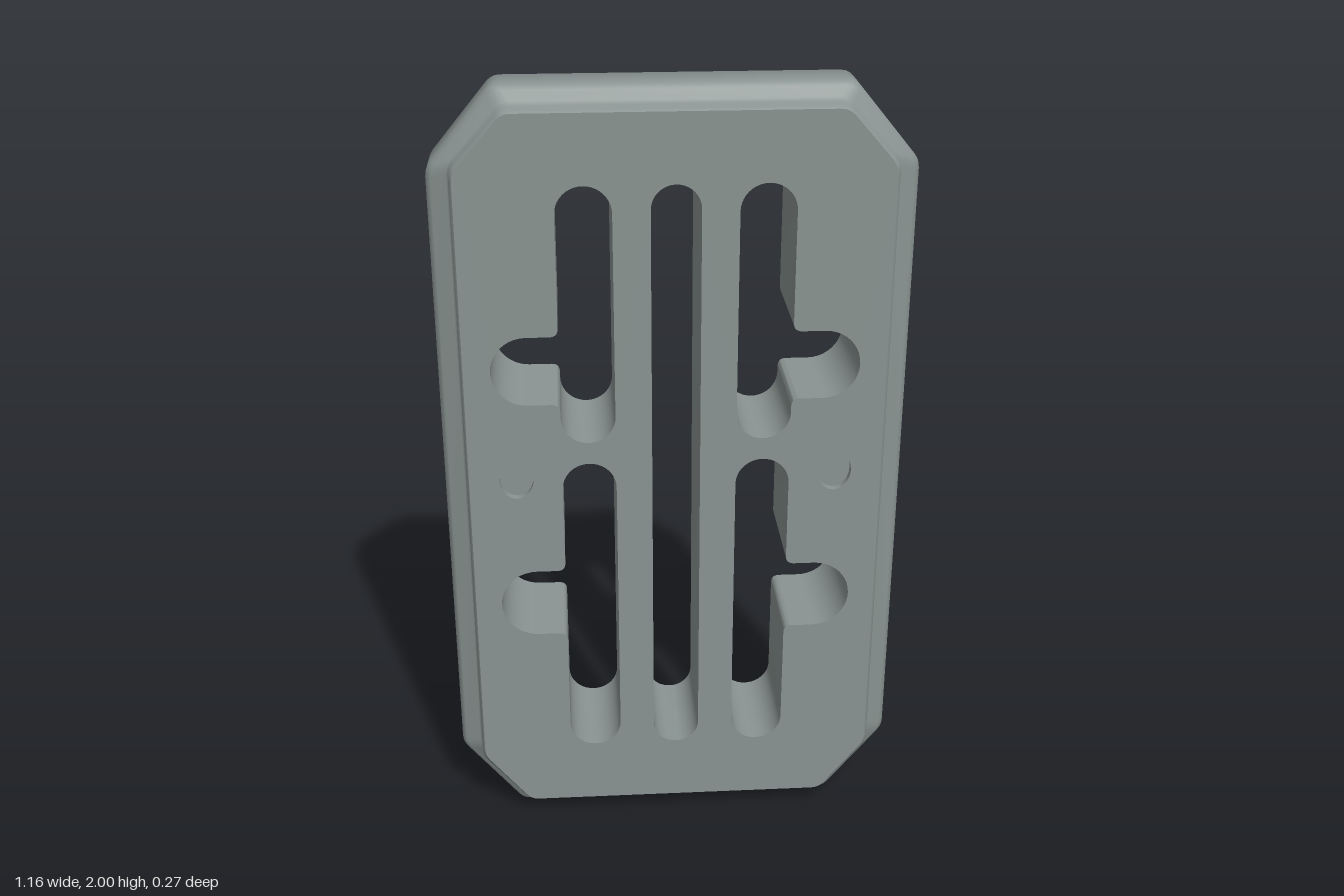
import * as THREE from 'three';
import { toCreasedNormals } from 'three/addons/utils/BufferGeometryUtils.js';

const HALF = 0.135; // half thickness of the plate
const POCKET_Z = 0.115; // floor of the blind pockets
const V = (x, y) => new THREE.Vector2(x, y);

// Chamfered rectangle with slightly softened corners, counter-clockwise
function octagon(hw, y0, y1, cx, cy0, cy1) {
  const c = [V(cx, y0), V(hw, cy0), V(hw, cy1), V(cx, y1), V(-cx, y1), V(-hw, cy1), V(-hw, cy0), V(-cx, y0)];
  const soften = 0.02;
  return c.flatMap((p, i) => {
    const before = c[(i + 7) % 8].clone().sub(p).setLength(soften).add(p);
    const after = c[(i + 1) % 8].clone().sub(p).setLength(soften).add(p);
    return new THREE.QuadraticBezierCurve(before, p, after).getPoints(3);
  });
}

// Closed rings of [points, z] joined front to back
function loft(rings) {
  const n = rings[0][0].length, pos = [], idx = [];
  for (const [pts, z] of rings) for (const p of pts) pos.push(p.x, p.y, z);
  for (let r = 0; r < rings.length - 1; r++) {
    for (let i = 0; i < n; i++) {
      const j = (i + 1) % n, a = r * n, b = a + n;
      idx.push(a + i, b + i, b + j, a + i, b + j, a + j);
    }
  }
  const g = new THREE.BufferGeometry();
  g.setAttribute('position', new THREE.Float32BufferAttribute(pos, 3));
  g.setIndex(idx);
  return toCreasedNormals(g, 0.95);
}

// Outline points in clockwise order, so that lofted walls face into the opening
function holePoints(path) {
  const pts = path.getPoints(10);
  if (pts[0].distanceTo(pts[pts.length - 1]) < 1e-5) pts.pop();
  return THREE.ShapeUtils.isClockWise(pts) ? pts : pts.reverse();
}

// Straight slot with round ends and, optionally, a round-ended arm to the +x side
function slot(x0, x1, y0, y1, arm) {
  const r = (x1 - x0) / 2, cx = (x0 + x1) / 2, s = new THREE.Path();
  s.absarc(cx, y0 + r, r, Math.PI, Math.PI * 2);
  if (arm) {
    const [a0, a1, end] = arm, ar = (a1 - a0) / 2, f = 0.022;
    s.lineTo(x1, a0 - f);
    s.quadraticCurveTo(x1, a0, x1 + f, a0);
    s.absarc(end - ar, a0 + ar, ar, -Math.PI / 2, Math.PI / 2);
    s.lineTo(x1 + f, a1);
    s.quadraticCurveTo(x1, a1, x1, a1 + f);
  }
  s.absarc(cx, y1 - r, r, 0, Math.PI);
  return holePoints(s);
}

const mirrorX = (pts) => pts.map((p) => V(-p.x, p.y)).reverse();

export function createModel() {
  const model = new THREE.Group();
  model.name = 'slottedPlate';
  const material = new THREE.MeshStandardMaterial({ color: 0x8a9492 });
  const add = (name, geometry, parent = model) => {
    const mesh = new THREE.Mesh(geometry, material);
    mesh.name = name;
    parent.add(mesh);
    return mesh;
  };

  // Stepped rim: raised panel on both sides of a wider middle band
  const face = octagon(0.518, 0.053, 1.952, 0.398, 0.204, 1.816);
  const panel = octagon(0.525, 0.047, 1.958, 0.4, 0.2, 1.82);
  const fillet = octagon(0.533, 0.038, 1.966, 0.403, 0.2, 1.82);
  const shoulder = octagon(0.57, 0.009, 1.991, 0.418, 0.2, 1.81);
  const band = octagon(0.582, 0, 2, 0.423, 0.2, 1.81);
  const half = [[face, HALF], [panel, 0.127], [panel, 0.084], [fillet, 0.075], [shoulder, 0.069], [band, 0.058]];
  const back = half.map(([p, z]) => [p, -z]).reverse();
  add('steppedRim', loft([...half, ...back]));

  // Through slots
  const upper = slot(0.15, 0.285, 1.13, 1.782, [1.235, 1.412, 0.452]);
  const lower = slot(0.15, 0.285, 0.23, 1.073, [0.583, 0.77, 0.452]);
  const slots = {
    centreSlot: slot(-0.06, 0.06, 0.23, 1.782),
    leftUpperSlot: upper, rightUpperSlot: mirrorX(upper),
    leftLowerSlot: lower, rightLowerSlot: mirrorX(lower),
  };
  for (const [name, pts] of Object.entries(slots)) add(name + 'Wall', loft([[pts, HALF], [pts, -HALF]]));

  // Small blind oval pockets
  const oval = holePoints(new THREE.Path().absellipse(0.4, 1.035, 0.043, 0.054, 0, Math.PI * 2));
  const pockets = [oval, mirrorX(oval)];

  // Front and back panels, each with its slots and pockets
  const panelShape = new THREE.Shape(face);
  for (const pts of [...Object.values(slots), ...pockets]) panelShape.holes.push(new THREE.Path(pts));
  for (const side of ['front', 'back']) {
    const group = new THREE.Group();
    group.name = side + 'Panel';
    if (side === 'back') group.rotation.y = Math.PI;
    add(side + 'Face', new THREE.ShapeGeometry(panelShape), group).position.z = HALF;
    for (const pts of pockets) {
      add(side + 'PocketWall', loft([[pts, HALF], [pts, POCKET_Z]]), group);
      add(side + 'PocketFloor', new THREE.ShapeGeometry(new THREE.Shape(pts)), group).position.z = POCKET_Z;
    }
    model.add(group);
  }
  return model;
}
